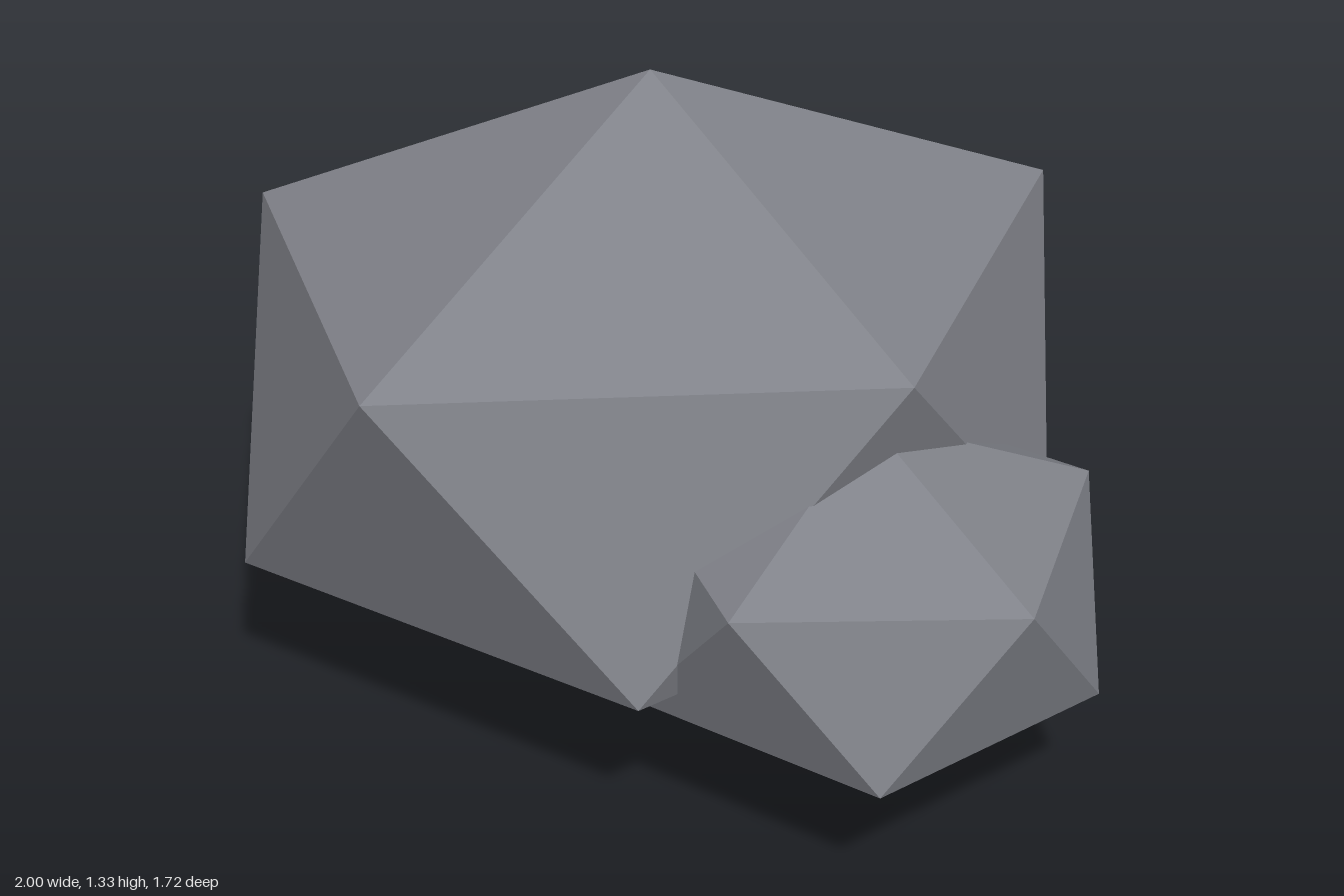
import * as THREE from 'three';

export function createModel() {
  const group = new THREE.Group();
  group.name = 'rockCluster';
  const stone = new THREE.MeshStandardMaterial({ color: 0x808289, flatShading: true, roughness: 1 });

  // Tilt that stands an icosahedron on a corner, with one upper-ring corner at +x
  const tilt = -Math.atan(2 / (1 + Math.sqrt(5)));

  function addRock(name, center, radii) {
    const geometry = new THREE.IcosahedronGeometry(1, 0);
    geometry.rotateZ(tilt);
    geometry.scale(...radii);
    geometry.computeVertexNormals();
    const rock = new THREE.Mesh(geometry, stone);
    rock.name = name;
    rock.position.set(...center);
    group.add(rock);
  }

  // Large boulder, flattened in height, and the smaller stone sunk into its side
  addRock('largeRock', [-0.177, 0.665, 0], [0.92, 0.663, 1.01]);
  addRock('smallRock', [0.52, 0.464, 0], [0.535, 0.373, 0.535]);

  return group;
}
